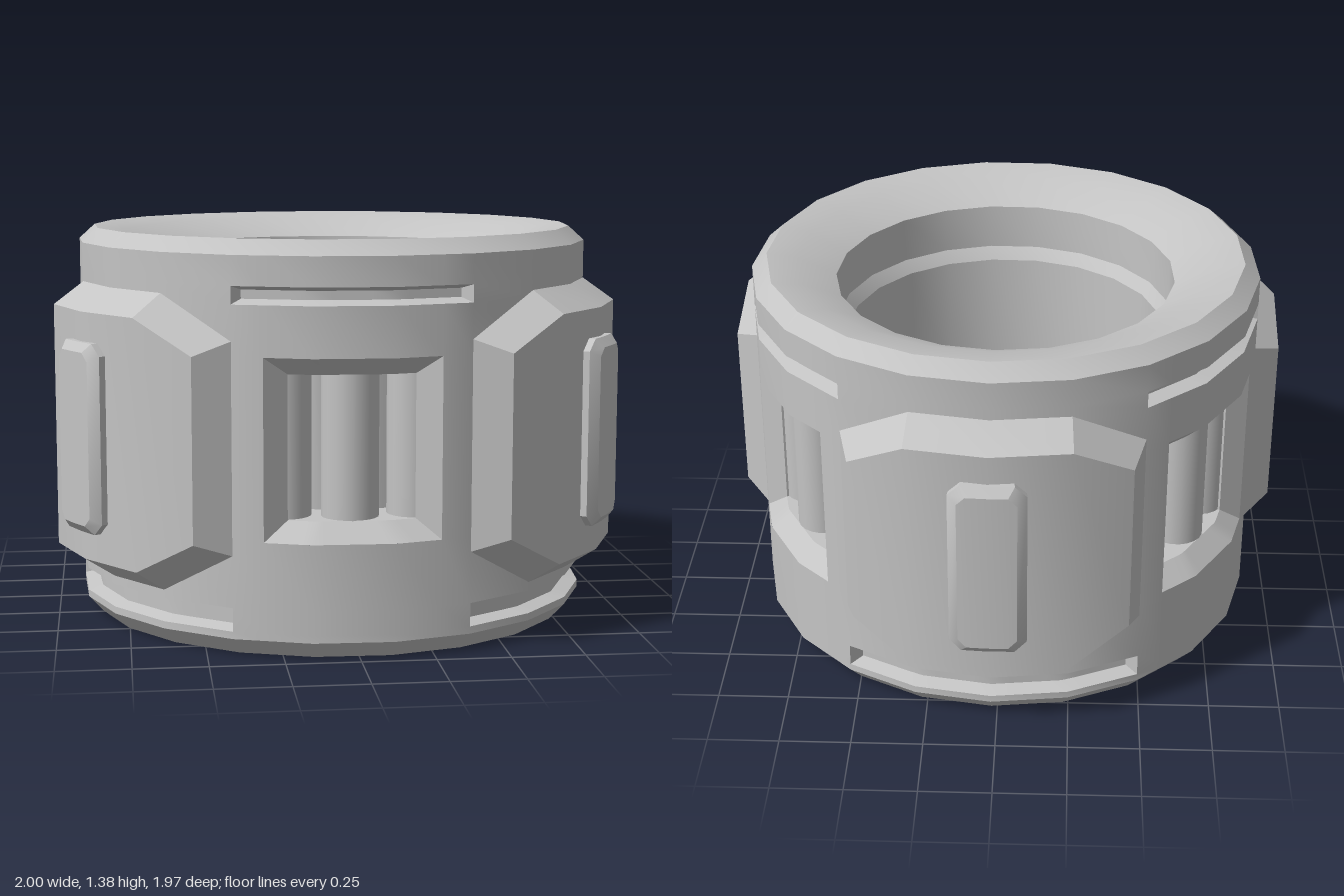
import * as THREE from 'three';
import { toCreasedNormals } from 'three/addons/utils/BufferGeometryUtils.js';

const SIDES = 21, STEP = 360 / SIDES, R = 0.912;
const rad = THREE.MathUtils.degToRad;

// radius of the many-sided body at an angle in degrees (0 = middle of the front facet)
const bodyR = (a, r = R) => {
  const d = ((a % STEP) + STEP) % STEP - STEP / 2; // distance from the nearest corner
  return r * Math.cos(rad(STEP / 2)) / Math.cos(rad(STEP / 2 - Math.abs(d)));
};
const point = (a, y, r) => [r * Math.sin(rad(a)), y, r * Math.cos(rad(a))];

// collects quads and turns them into a geometry
function quads() {
  const pos = [];
  return {
    add(a, b, c, d) { pos.push(...a, ...b, ...d, ...b, ...c, ...d); },
    build() {
      const g = new THREE.BufferGeometry();
      g.setAttribute('position', new THREE.Float32BufferAttribute(pos, 3));
      return toCreasedNormals(g, 0.5);
    }
  };
}

// joins layers of columns [angle, yLow, yHigh, radius] and caps the last layer
function loft(layers) {
  const q = quads();
  const loops = layers.map(cols => [
    ...cols.map(([a, y0, , r]) => point(a, y0, r)),
    ...[...cols].reverse().map(([a, , y1, r]) => point(a, y1, r))
  ]);
  for (let k = 0; k + 1 < loops.length; k++) {
    const A = loops[k], B = loops[k + 1], n = A.length;
    for (let i = 0; i < n; i++) q.add(A[i], A[(i + 1) % n], B[(i + 1) % n], B[i]);
  }
  const cap = loops[loops.length - 1], n = cap.length;
  for (let i = 0; i < n / 2 - 1; i++) q.add(cap[i], cap[i + 1], cap[n - 2 - i], cap[n - 1 - i]);
  return q.build();
}

// rectangular layer following the body facets around a centre angle, used for recesses
function recessLayer(centre, half, y0, y1, r, n) {
  return Array.from({ length: n + 1 }, (_, i) => {
    const a = -half + 2 * half * i / n;
    return [a, y0, y1, bodyR(a + centre, r)];
  });
}

// mirrored layer from [angle, halfHeight, radius] triples, used for raised plates
function plateLayer(triples) {
  const right = triples.map(([a, h, r]) => [a, 0.695 - h, 0.695 + h, r]);
  const left = right.slice(1).reverse().map(([a, ...rest]) => [-a, ...rest]);
  return [...left, ...right];
}

// outer wall with openings for windows and slots
function wallGeometry() {
  const q = quads();
  const ys = [0.06, 0.085, 0.165, 0.39, 1.0, 1.17, 1.23, 1.33];
  const angles = [-19, 19];
  for (let i = 0; i < 8; i++) angles.push((i - 3.5) * STEP);
  angles.sort((a, b) => a - b);
  for (const turn of [0, 120, 240]) {
    for (let i = 0; i + 1 < angles.length; i++) {
      const a0 = angles[i], a1 = angles[i + 1], m = Math.abs((a0 + a1) / 2);
      const inSlot = m < 1.5 * STEP;
      for (let j = 0; j + 1 < ys.length; j++) {
        const y0 = ys[j], y1 = ys[j + 1];
        if ((m < 19 && y0 === 0.39) || (inSlot && y0 === 1.17) || (!inSlot && y0 === 0.085)) continue;
        const p = (a, y) => point(a + turn, y, bodyR(a));
        q.add(p(a0, y0), p(a1, y0), p(a1, y1), p(a0, y1));
      }
    }
  }
  return q.build();
}

function lathe(profile) {
  const pts = profile.map(([x, y]) => new THREE.Vector2(x, y));
  return toCreasedNormals(new THREE.LatheGeometry(pts, SIDES, rad(STEP / 2)), 0.35);
}

export function createModel() {
  const grey = new THREE.MeshStandardMaterial({ color: 0xc4c4c4 });
  grey.name = 'grey';
  const model = new THREE.Group();
  model.name = 'ringHousing';
  const body = new THREE.Group();
  body.name = 'body';
  body.position.z = 0.08;
  body.rotation.y = rad(-1.4);
  model.add(body);

  const add = (parent, name, geometry) => {
    const m = new THREE.Mesh(geometry, grey);
    m.name = name;
    parent.add(m);
    return m;
  };

  add(body, 'outerWall', wallGeometry());
  add(body, 'base', lathe([[0, 0], [0.857, 0], [R, 0.06]]));
  // rim, funnel, inner wall with a ledge, and raised centre
  add(body, 'rimAndBowl', lathe([
    [R, 1.33], [0.857, 1.38], [0.75, 1.36], [0.61, 1.295], [0.607, 1.13], [0.575, 1.085],
    [0.57, 0.6], [0.473, 0.6], [0.388, 0.7], [0.302, 0.7], [0.287, 0.67], [0, 0.67]
  ]));

  // window with three rods, and the slot above it
  const windowGeo = loft([
    recessLayer(0, 19, 0.39, 1.0, R, 18), recessLayer(0, 14.7, 0.455, 0.94, 0.845, 18),
    recessLayer(0, 18.5, 0.455, 0.94, 0.65, 18)
  ]);
  const upperSlotGeo = loft([
    recessLayer(0, 1.5 * STEP, 1.17, 1.23, R, 12), recessLayer(0, 24.8, 1.185, 1.215, 0.862, 12)
  ]);
  const rodGeo = new THREE.CylinderGeometry(0.097, 0.097, 0.5, 20);

  // plate with cut corners, its pad, and the slot below it
  const plateGeo = loft([
    plateLayer([[0, 0.5, R], [STEP, 0.5, R], [2 * STEP, 0.355, R]]),
    plateLayer([[0, 0.425, 1.025], [15.8, 0.425, 1.022], [28.4, 0.31, 1.002]])
  ]);
  const padGeo = loft([
    plateLayer([[0, 0.325, 0.99], [5, 0.325, 0.99], [7.3, 0.285, 0.99]]),
    plateLayer([[0, 0.325, 1.04], [5, 0.325, 1.04], [7.3, 0.285, 1.038]]),
    plateLayer([[0, 0.295, 1.065], [3.8, 0.295, 1.065], [5.4, 0.265, 1.064]])
  ]);
  const lowerSlotGeo = loft([
    recessLayer(60, 2 * STEP, 0.085, 0.165, R, 16), recessLayer(60, 33.3, 0.1, 0.15, 0.862, 16)
  ]);

  for (let i = 0; i < 3; i++) {
    const windowBay = new THREE.Group();
    windowBay.name = 'windowBay';
    windowBay.rotation.y = rad(120 * i);
    add(windowBay, 'windowRecess', windowGeo);
    add(windowBay, 'upperSlot', upperSlotGeo);
    for (const a of [-17.5, 0, 17.5]) {
      add(windowBay, 'rod', rodGeo).position.set(...point(a, 0.697, 0.74));
    }
    const plateBay = new THREE.Group();
    plateBay.name = 'plateBay';
    plateBay.rotation.y = rad(60 + 120 * i);
    add(plateBay, 'plate', plateGeo);
    add(plateBay, 'pad', padGeo);
    add(plateBay, 'lowerSlot', lowerSlotGeo);
    body.add(windowBay, plateBay);
  }
  return model;
}
